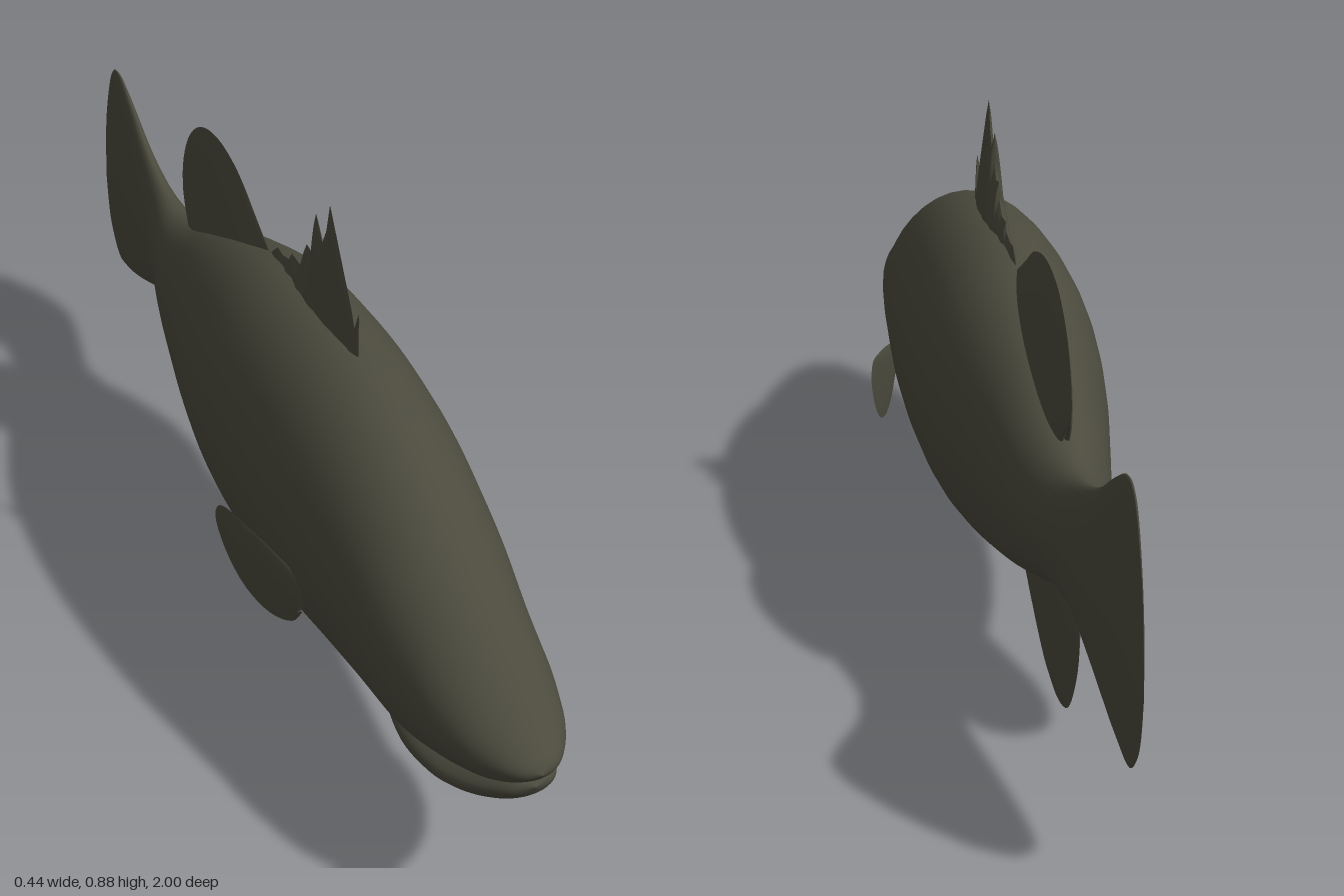
import * as THREE from 'three';

const skin = new THREE.MeshStandardMaterial({ color: 0x4b4a3d, side: THREE.DoubleSide });
skin.name = 'olive skin';

function grid(rows, cols, closed, at) {
  const pos = [], idx = [], stride = closed ? cols : cols + 1;
  for (let i = 0; i <= rows; i++)
    for (let j = 0; j < stride; j++) pos.push(...at(i / rows, j / cols));
  for (let i = 0; i < rows; i++)
    for (let j = 0; j < cols; j++) {
      const k = closed ? (j + 1) % cols : j + 1;
      const a = i * stride + j, b = a + stride, c = i * stride + k, d = c + stride;
      idx.push(a, b, c, c, b, d);
    }
  const g = new THREE.BufferGeometry();
  g.setAttribute('position', new THREE.Float32BufferAttribute(pos, 3));
  g.setIndex(idx);
  g.computeVertexNormals();
  return g;
}

function addMesh(group, name, geometry) {
  const m = new THREE.Mesh(geometry, skin);
  m.name = name;
  group.add(m);
  return m;
}

// Elliptical loft through sections [z, top, bottom, half width]
function loft(sections, rows) {
  const curve = (f) => new THREE.CatmullRomCurve3(sections.map(f), false, 'catmullrom', 0.5);
  const edges = curve((s) => new THREE.Vector3(s[0], s[1], s[2]));
  const widths = curve((s) => new THREE.Vector3(s[3], 0, 0));
  return grid(rows, 40, true, (u, v) => {
    const e = edges.getPoint(u), w = Math.max(0, widths.getPoint(u).x), a = v * Math.PI * 2;
    return [w * Math.cos(a), (e.y + e.z) / 2 + ((e.y - e.z) / 2) * Math.sin(a), e.x];
  });
}

// Lens-shaped fin between a straight root and a rim, both given as [z, y]
function fin(group, name, root, rim, thick, { jagged = false, bend = () => 0 } = {}) {
  const pts = rim.map(([z, y]) => new THREE.Vector3(0, y, z));
  let path;
  if (jagged) {
    path = new THREE.CurvePath();
    for (let i = 1; i < pts.length; i++) path.add(new THREE.LineCurve3(pts[i - 1], pts[i]));
  } else path = new THREE.CatmullRomCurve3(pts, false, 'centripetal');
  const n = pts.length - 1;
  const rimAt = (u) => {
    if (!jagged) return path.getPoint(u);
    const i = Math.min(n - 1, Math.floor(u * n + 1e-6));
    return path.curves[i].getPoint(u * n - i);
  };
  for (const side of [1, -1]) {
    const g = grid(n * 4, 10, false, (u, v) => {
      const p = rimAt(u);
      const z = THREE.MathUtils.lerp(THREE.MathUtils.lerp(root[0][0], root[1][0], u), p.z, v);
      const y = THREE.MathUtils.lerp(THREE.MathUtils.lerp(root[0][1], root[1][1], u), p.y, v);
      const half = thick * (1 - v) ** 0.7 * Math.max(0, Math.sin(Math.PI * u)) ** 0.5;
      return [bend(z) + side * half, y, z];
    });
    addMesh(group, name, g);
  }
}

export function createModel() {
  const fish = new THREE.Group();
  fish.name = 'fish';

  // Body running smoothly into the fan of the tail
  addMesh(fish, 'bodyAndTail', loft([
    [1.0, 0.352, 0.35, 0], [0.985, 0.37, 0.33, 0.035], [0.95, 0.392, 0.302, 0.065],
    [0.9, 0.417, 0.275, 0.09], [0.82, 0.457, 0.238, 0.112], [0.72, 0.51, 0.197, 0.127],
    [0.6, 0.582, 0.181, 0.142], [0.46, 0.642, 0.162, 0.156], [0.32, 0.675, 0.142, 0.167],
    [0.16, 0.688, 0.135, 0.171], [0, 0.68, 0.14, 0.165], [-0.15, 0.645, 0.166, 0.145],
    [-0.3, 0.59, 0.205, 0.115], [-0.43, 0.53, 0.25, 0.087], [-0.53, 0.504, 0.285, 0.062],
    [-0.62, 0.514, 0.28, 0.04], [-0.72, 0.553, 0.243, 0.029], [-0.81, 0.61, 0.213, 0.022],
    [-0.88, 0.645, 0.198, 0.015], [-0.925, 0.632, 0.197, 0.01], [-0.96, 0.565, 0.225, 0.006],
    [-0.985, 0.48, 0.27, 0.003], [-1.0, 0.365, 0.35, 0],
  ], 140));

  // Lower jaw, leaving a narrow mouth line
  addMesh(fish, 'lowerJaw', loft([
    [0.985, 0.316, 0.314, 0], [0.97, 0.325, 0.287, 0.035], [0.94, 0.318, 0.262, 0.06],
    [0.89, 0.302, 0.237, 0.083], [0.82, 0.285, 0.216, 0.099], [0.72, 0.275, 0.198, 0.1],
    [0.6, 0.26, 0.2, 0.07], [0.5, 0.22, 0.218, 0],
  ], 40));

  // Spiny front dorsal fin with scalloped webbing
  fin(fish, 'spinyDorsalFin', [[0.31, 0.63], [-0.07, 0.62]], [
    [0.318, 0.67], [0.316, 0.755], [0.304, 0.71], [0.285, 0.75], [0.195, 0.893], [0.183, 0.84],
    [0.165, 0.808], [0.138, 0.848], [0.138, 0.79], [0.125, 0.765], [0.1, 0.77], [0.095, 0.74],
    [0.07, 0.715], [0.035, 0.717], [0.025, 0.7], [-0.005, 0.692], [-0.03, 0.695], [-0.07, 0.66],
  ], 0.026, { jagged: true });

  // Rounded rear dorsal fin
  fin(fish, 'softDorsalFin', [[-0.06, 0.62], [-0.46, 0.47]], [
    [-0.06, 0.66], [-0.14, 0.705], [-0.22, 0.75], [-0.32, 0.768], [-0.41, 0.748],
    [-0.475, 0.695], [-0.51, 0.62], [-0.508, 0.565], [-0.46, 0.525],
  ], 0.03);

  // Anal fin
  fin(fish, 'analFin', [[-0.13, 0.21], [-0.5, 0.33]], [
    [-0.13, 0.165], [-0.21, 0.125], [-0.29, 0.072], [-0.36, 0.037], [-0.43, 0.03],
    [-0.505, 0.055], [-0.56, 0.125], [-0.588, 0.2], [-0.583, 0.245], [-0.5, 0.285],
  ], 0.03);

  // Pelvic fin
  fin(fish, 'pelvicFin', [[0.39, 0.18], [0.21, 0.18]], [
    [0.4, 0.15], [0.34, 0.095], [0.27, 0.04], [0.21, 0.008], [0.19, 0.02],
    [0.182, 0.075], [0.195, 0.115], [0.23, 0.145],
  ], 0.028);

  // Pectoral fins, sweeping outwards to the rear
  for (const s of [1, -1])
    fin(fish, s > 0 ? 'leftPectoralFin' : 'rightPectoralFin', [[0.455, 0.34], [0.43, 0.28]], [
      [0.455, 0.342], [0.38, 0.365], [0.3, 0.382], [0.24, 0.386], [0.226, 0.36],
      [0.25, 0.3], [0.3, 0.25], [0.36, 0.233], [0.415, 0.25], [0.44, 0.285],
    ], 0.007, { bend: (z) => s * (0.143 + (0.45 - z) * 0.335) });

  return fish;
}
